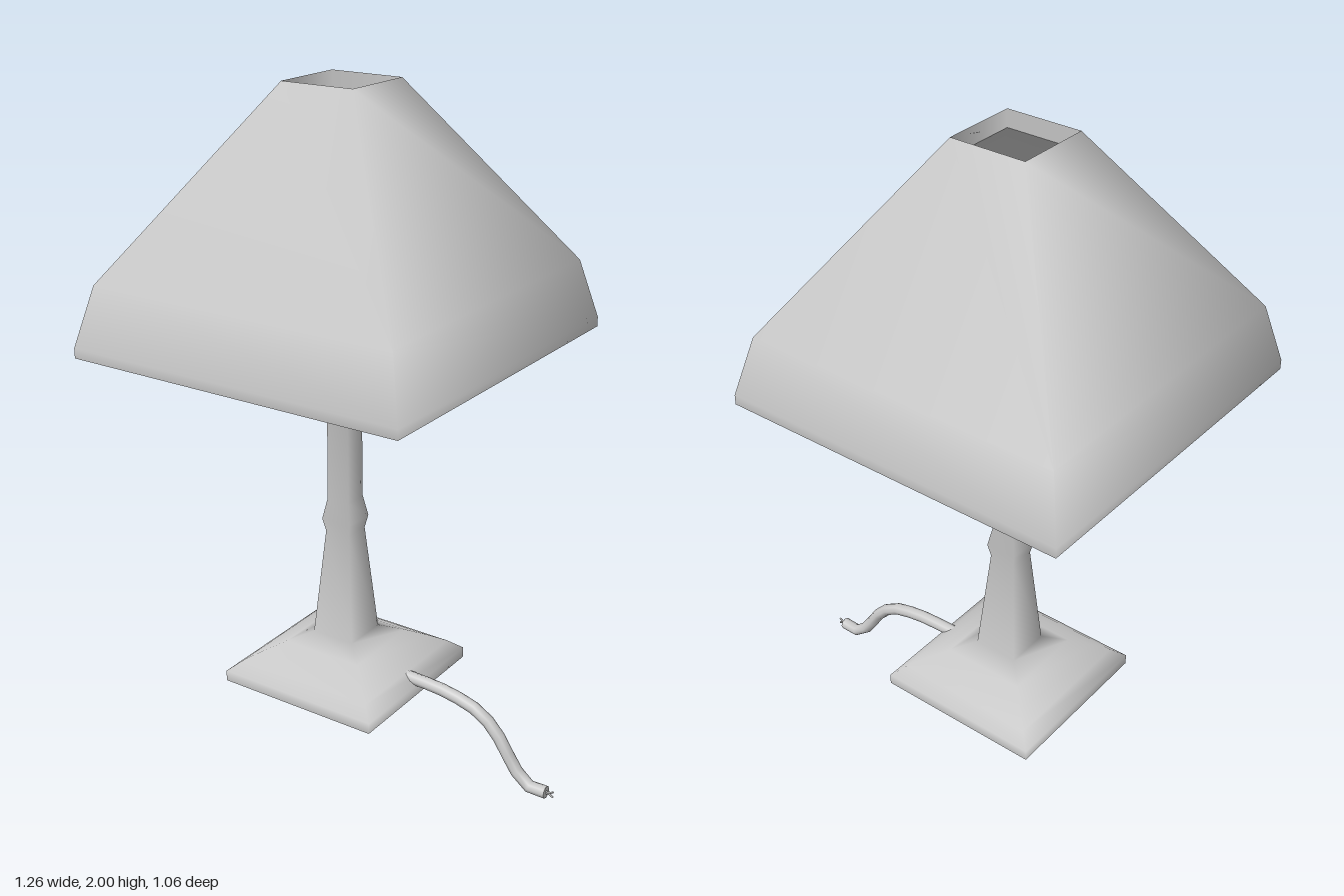
import * as THREE from 'three';

const V = (x, y, z = 0) => new THREE.Vector3(x, y, z);

export function createModel() {
  const model = new THREE.Group();
  model.name = 'tableLamp';
  const mat = new THREE.MeshStandardMaterial({ color: 0xcccccc, side: THREE.DoubleSide });

  const add = (parent, name, geo) => {
    const mesh = new THREE.Mesh(geo, mat);
    mesh.name = name;
    parent.add(mesh);
    return mesh;
  };
  // Four-sided lathe with smooth normals; profile is [half width, height]
  const square = (profile) => new THREE.LatheGeometry(
    profile.map(([h, y]) => new THREE.Vector2(h * Math.SQRT2, y)), 4, Math.PI / 4);

  const lamp = new THREE.Group();
  lamp.name = 'lamp';
  lamp.position.x = -0.1;
  model.add(lamp);

  // Foot flowing into the square column with two swellings
  add(lamp, 'baseUnderside', square([[0, 0.202], [0.262, 0.202]]));
  add(lamp, 'baseAndColumn', square([
    [0.262, 0.202], [0.262, 0.235], [0.225, 0.266], [0.18, 0.293], [0.13, 0.319], [0.07, 0.345],
    [0.041, 0.68], [0.049, 0.72], [0.037, 0.785],
    [0.036, 1.1], [0.049, 1.105], [0.059, 1.165], [0.041, 1.215],
    [0.038, 1.37], [0, 1.375],
  ]));

  // Bulb: a square section twisted as it rises
  const bulb = square([
    [0.033, 1.36], [0.042, 1.42], [0.052, 1.49], [0.06, 1.56],
    [0.061, 1.6], [0.048, 1.66], [0.03, 1.7], [0, 1.72],
  ]);
  const pos = bulb.attributes.position;
  for (let i = 0; i < pos.count; i++) {
    const p = V(0, 0).fromBufferAttribute(pos, i);
    p.applyAxisAngle(V(0, 1), (p.y - 1.6) * 4);
    pos.setXYZ(i, p.x, p.y, p.z);
  }
  bulb.computeVertexNormals();
  add(lamp, 'bulb', bulb);

  // Shade: outer skin, inner skin, bottom rim and upright collar in the opening
  const shade = new THREE.Group();
  shade.name = 'shade';
  lamp.add(shade);
  add(shade, 'shadeOuter', square([[0.53, 1.266], [0.53, 1.295], [0.485, 1.47], [0.115, 2]]));
  add(shade, 'shadeInner', square([[0.112, 1.95], [0.468, 1.462], [0.515, 1.29], [0.515, 1.266]]));
  add(shade, 'shadeBottomRim', square([[0.515, 1.266], [0.53, 1.266]]));
  add(shade, 'shadeTopCollar', square([[0.115, 2], [0.112, 1.95]]));

  // Four arms carrying the shade
  for (let i = 0; i < 4; i++) {
    const holder = new THREE.Group();
    holder.name = 'shadeArm' + (i + 1);
    holder.rotation.y = i * Math.PI / 2;
    lamp.add(holder);
    const arm = add(holder, 'rod', new THREE.CylinderGeometry(0.01, 0.01, 0.44, 6));
    arm.rotation.z = Math.PI / 2;
    arm.position.set(0.24, 1.325, 0);
  }

  // Cable trailing down from the foot, with bare wire ends
  const path = new THREE.CatmullRomCurve3([
    V(0.08, 0.25), V(0.15, 0.25), V(0.27, 0.242), V(0.38, 0.21), V(0.445, 0.15),
    V(0.50, 0.065), V(0.55, 0.023), V(0.605, 0.024),
  ]);
  add(model, 'cable', new THREE.TubeGeometry(path, 11, 0.019, 8));
  const cap = add(model, 'cableEnd', new THREE.CircleGeometry(0.019, 8));
  cap.position.set(0.605, 0.024, 0);
  cap.rotation.y = Math.PI / 2;
  for (const s of [-1, 1]) {
    const wire = new THREE.CatmullRomCurve3([
      V(0.595, 0.024 + s * 0.006), V(0.613, 0.024 + s * 0.002), V(0.628, 0.024 + s * 0.009)]);
    add(model, s < 0 ? 'lowerWire' : 'upperWire', new THREE.TubeGeometry(wire, 4, 0.003, 5));
  }
  return model;
}
